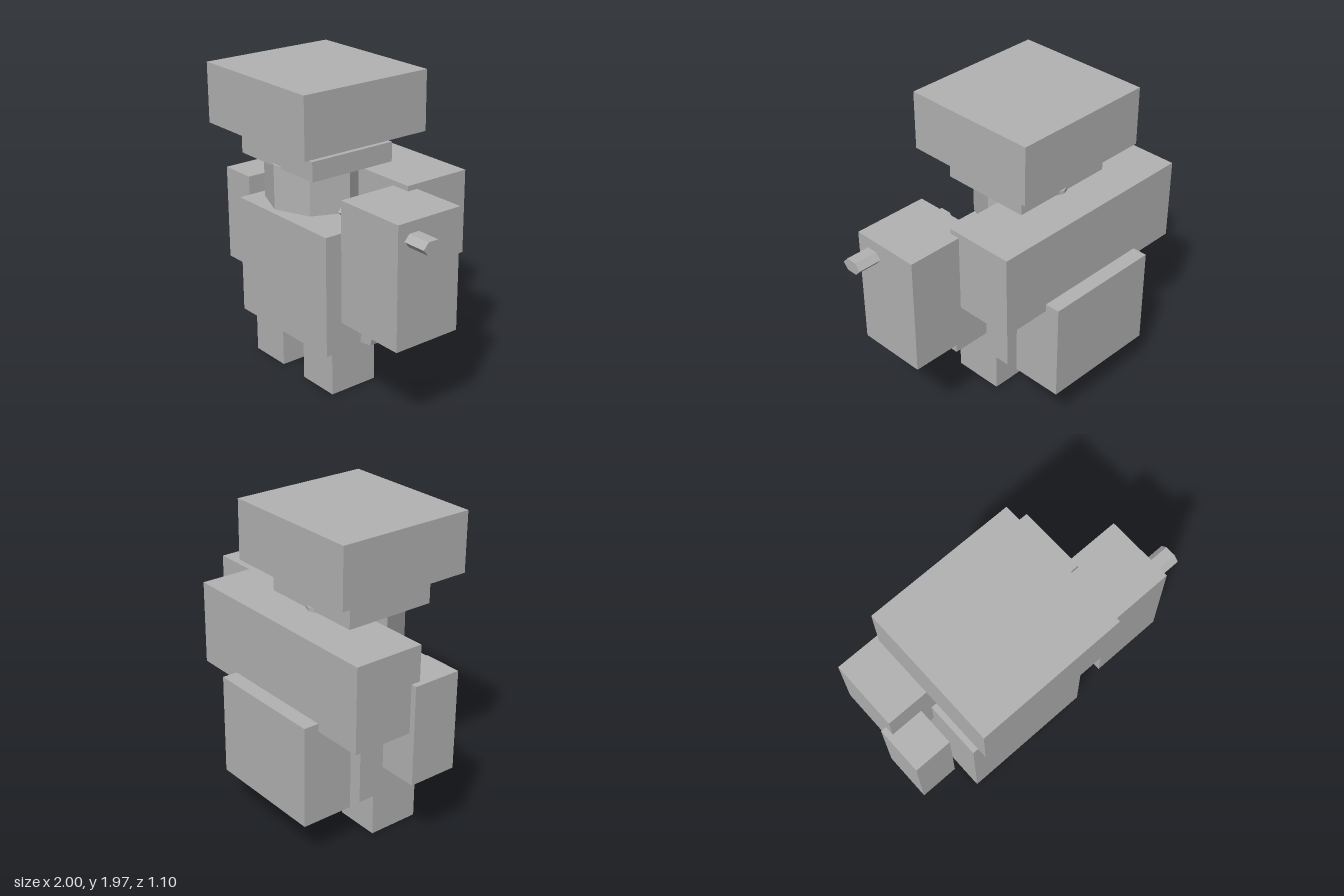
import * as THREE from 'three';

export function createModel() {
  const model = new THREE.Group();
  const grey = new THREE.MeshStandardMaterial({ name: 'light grey', color: 0xb2b2b2, flatShading: true });

  const add = (name, geometry, x, y, z) => {
    const mesh = new THREE.Mesh(geometry, grey);
    mesh.name = name;
    mesh.position.set(x, y, z);
    model.add(mesh);
    return mesh;
  };
  // Box given by its extents along each axis
  const block = (name, [x0, x1], [y0, y1], [z0, z1]) =>
    add(name, new THREE.BoxGeometry(x1 - x0, y1 - y0, z1 - z0),
      (x0 + x1) / 2, (y0 + y1) / 2, (z0 + z1) / 2);

  // Body
  block('torso', [-0.675, 0.2], [0.3, 1.075], [-0.172, 0.375]);
  block('shoulders', [-0.963, 0.487], [0.86, 1.39], [-0.452, 0]);
  block('backpack', [-0.637, 0.16], [0.263, 0.91], [-0.55, -0.213]);

  // Limbs: each pair is offset along x
  for (const [side, armX, legX] of [['right', -1, -0.637], ['left', 0.273, -0.13]]) {
    block(side + 'Arm', [armX, armX + 0.253], [0.535, 1.165], [-0.062, 0.255]);
    block(side + 'Leg', [legX, legX + 0.29], [0, 0.3], [-0.032, 0.303]);
  }

  // Eight-sided head under a two-tier hat
  const head = add('head', new THREE.CylinderGeometry(1, 1, 0.28, 8), -0.24, 1.274, 0.103);
  head.scale.set(0.326, 1, 0.317);
  block('hatBand', [-0.595, 0.113], [1.398, 1.522], [-0.2, 0.4]);
  block('hatTop', [-0.717, 0.242], [1.59, 1.968], [-0.352, 0.55]);

  // Large block held by the left arm
  block('heldBlock', [0.358, 0.845], [0.595, 1.358], [-0.069, 0.387]);

  // Flattened six-sided rod running sideways through the block
  const rodGeometry = new THREE.CylinderGeometry(1, 1, 0.725, 6).rotateZ(Math.PI / 2);
  const rod = add('crossRod', rodGeometry, 0.636, 1.25, 0.272);
  rod.scale.set(1, 0.039 / Math.sin(Math.PI / 3), 0.07);

  // Slanted six-sided peg under the block
  const pegGeometry = new THREE.CylinderGeometry(0.062, 0.062, 0.3, 6).translate(0, 0.15, 0);
  const peg = add('slantedPeg', pegGeometry, 0.435, 0.473, 0.244);
  peg.rotation.z = -0.22;

  return model;
}
